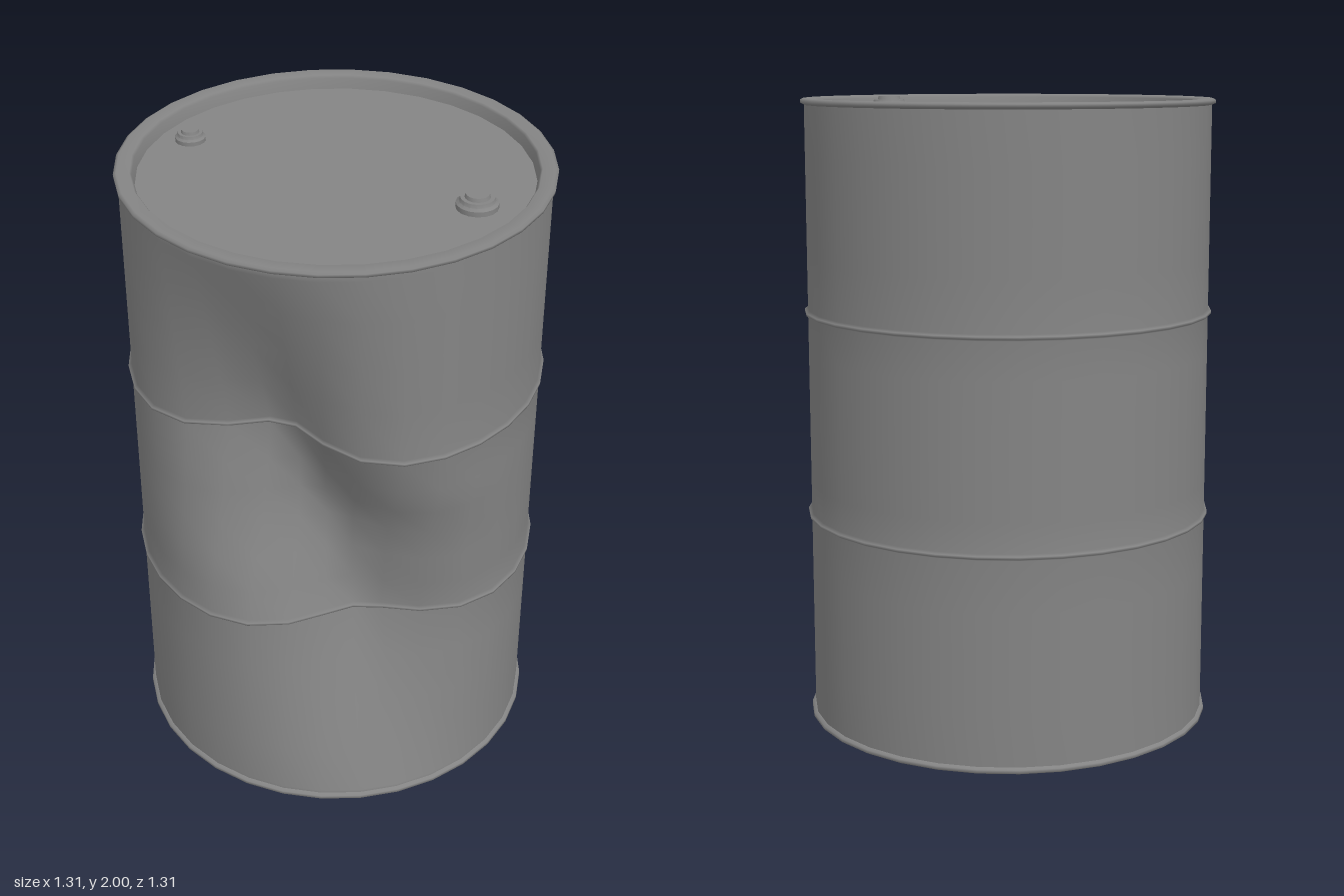
import * as THREE from 'three';
import { mergeVertices, toCreasedNormals } from 'three/addons/utils/BufferGeometryUtils.js';

const SIDES = 32;
const WALL = 0.642;

// Dent in the wall at a few heights: y, centre angle from the front (degrees), depth, spread, vertical pull
const DENT = [
  [0.03, 35, 0, 19, 0],
  [0.655, 35, 0.21, 19, -0.02],
  [0.695, 35, 0.21, 19, -0.02],
  [1.0, 22, 0.25, 21, 0],
  [1.31, 6, 0.22, 17, 0.016],
  [1.35, 6, 0.22, 17, 0.016],
  [1.965, 6, 0, 17, 0],
];

function dentAt(y) {
  if (y <= DENT[0][0] || y >= DENT[DENT.length - 1][0]) return null;
  const i = DENT.findIndex((row) => row[0] >= y);
  const a = DENT[i - 1], b = DENT[i];
  const t = (y - a[0]) / (b[0] - a[0]);
  return a.map((v, k) => THREE.MathUtils.lerp(v, b[k], t));
}

function lathe(profile, sides = SIDES) {
  return new THREE.LatheGeometry(profile.map(([r, y]) => new THREE.Vector2(r, y)), sides);
}

// Pushes the vertices inward around the dent centre
function applyDent(geometry) {
  const p = geometry.attributes.position;
  for (let i = 0; i < p.count; i++) {
    const x = p.getX(i), y = p.getY(i), z = p.getZ(i);
    const dent = dentAt(y);
    if (!dent) continue;
    const [, centre, depth, spread, pull] = dent;
    const angle = THREE.MathUtils.radToDeg(Math.atan2(x, z));
    const weight = Math.exp(-0.5 * ((angle - centre) / spread) ** 2);
    const r = Math.hypot(x, z);
    const s = (r - depth * weight) / r;
    p.setXYZ(i, x * s, y + pull * weight, z * s);
  }
  return geometry;
}

// Welds the seam and gives area-weighted smooth normals
function smooth(geometry) {
  geometry.deleteAttribute('uv');
  geometry.deleteAttribute('normal');
  const welded = mergeVertices(geometry, 1e-5);
  welded.computeVertexNormals();
  return welded;
}

export function createModel() {
  const group = new THREE.Group();
  const material = new THREE.MeshStandardMaterial({ color: 0x848484 });

  function add(name, geometry, x = 0, y = 0) {
    const mesh = new THREE.Mesh(geometry, material);
    mesh.name = name;
    mesh.position.set(x, y, 0);
    group.add(mesh);
  }

  // Side wall with two rolled hoops, dented at the front
  const hoop = (y) => [
    [WALL, y - 0.01], [WALL + 0.01, y - 0.004], [WALL + 0.01, y + 0.004], [WALL, y + 0.01],
  ];
  const rows = (...heights) => heights.map((y) => [WALL, y]);
  add('drumWall', smooth(applyDent(lathe([
    ...rows(0.016, 0.03, 0.18, 0.34, 0.5), ...hoop(0.675),
    ...rows(0.78, 0.89, 1.0, 1.1, 1.2), ...hoop(1.33),
    ...rows(1.5, 1.66, 1.82, 1.965, 1.98),
  ]))));

  // Rolled rims, stepping in and down to the recessed ends
  const rim = [
    [WALL, 1.98], [0.653, 1.985], [0.654, 1.995], [0.645, 2], [0.606, 1.998], [0.6, 1.99], [0.593, 1.957],
  ];
  add('topRim', smooth(lathe(rim)));
  add('bottomRim', smooth(lathe(rim.map(([r, y]) => [r, 2 - y]).reverse())));
  add('topLid', lathe([[0.593, 1.957], [0, 1.957]]));
  add('bottomLid', lathe([[0, 0.043], [0.593, 0.043]]));

  // Stepped screw plugs on the lid: radius and height
  const plug = (r, h) => toCreasedNormals(lathe([
    [r, 0], [r, h * 0.35], [r * 0.85, h * 0.5], [r * 0.8, h * 0.75], [r * 0.6, h * 0.75],
    [r * 0.55, h], [0, h],
  ], 16), 0.7);
  add('largePlug', plug(0.063, 0.044), 0.453, 1.957);
  add('smallPlug', plug(0.047, 0.036), -0.498, 1.957);

  return group;
}
